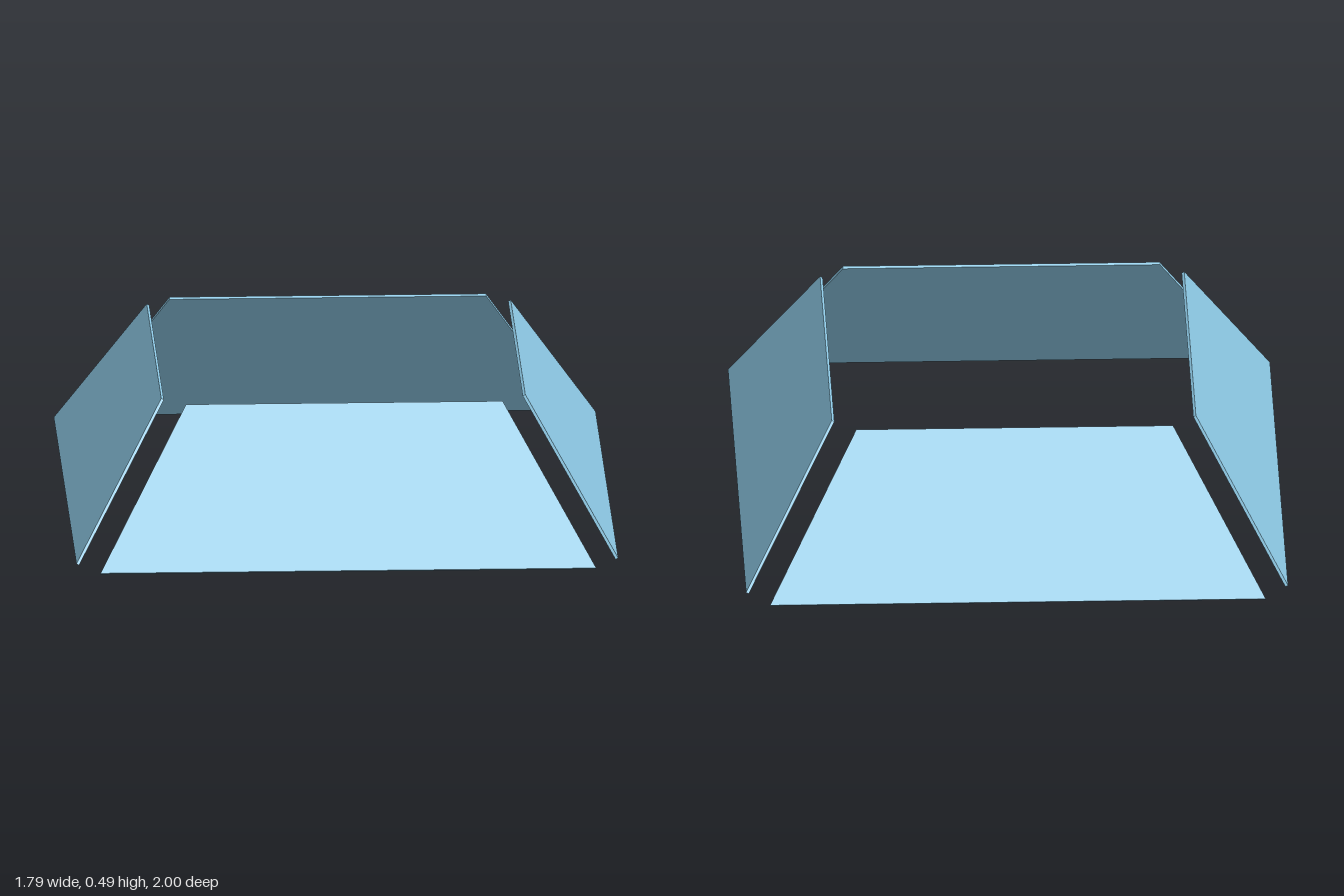
import * as THREE from 'three';

const THICKNESS = 0.01;

// Trapezoid slab leaning inward; its outer face starts at the lower edge
function createPanel(name, material, { bottomHalf, topHalf, run, rise, out, base }, turn) {
  const length = Math.hypot(run, rise);
  const shape = new THREE.Shape([
    new THREE.Vector2(-bottomHalf, 0),
    new THREE.Vector2(bottomHalf, 0),
    new THREE.Vector2(topHalf, length),
    new THREE.Vector2(-topHalf, length),
  ]);
  const geometry = new THREE.ExtrudeGeometry(shape, { depth: THICKNESS, bevelEnabled: false });
  geometry.translate(0, 0, -THICKNESS);
  geometry.rotateX(-Math.atan2(run, rise));
  geometry.translate(0, base, out);
  geometry.rotateY(turn);
  const mesh = new THREE.Mesh(geometry, material);
  mesh.name = name;
  return mesh;
}

export function createModel() {
  const model = new THREE.Group();
  model.name = 'slopedPanels';
  const paleBlue = new THREE.MeshStandardMaterial({ color: 0x8ecae6 });
  paleBlue.name = 'paleBlue';

  const endPanel = { bottomHalf: 0.817, topHalf: 0.522, run: 0.33, rise: 0.483, out: 1, base: 0.006 };
  const sidePanel = { bottomHalf: 0.915, topHalf: 0.59, run: 0.293, rise: 0.473, out: 0.893, base: 0.016 };

  // Four panels around an open centre
  model.add(
    createPanel('frontPanel', paleBlue, endPanel, 0),
    createPanel('leftPanel', paleBlue, sidePanel, Math.PI / 2),
    createPanel('backPanel', paleBlue, endPanel, Math.PI),
    createPanel('rightPanel', paleBlue, sidePanel, -Math.PI / 2),
  );
  return model;
}
